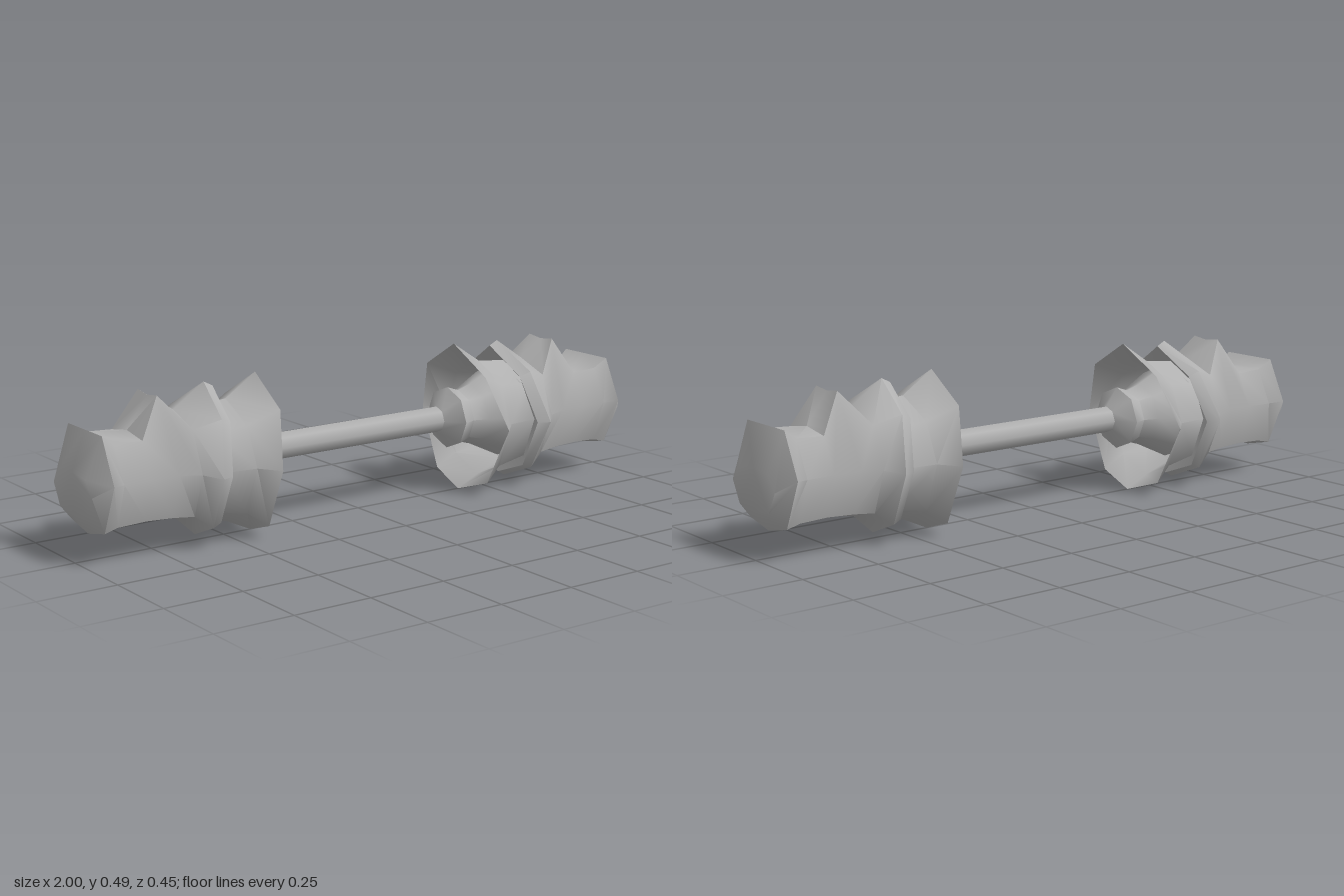
import * as THREE from 'three';
import { toCreasedNormals } from 'three/addons/utils/BufferGeometryUtils.js';

const grey = new THREE.MeshStandardMaterial({ color: 0xb0b0b0, side: THREE.DoubleSide });
grey.name = 'plain grey';

// Eight-cornered ring, mirrored across z.
// row: [x or five x values, topY, [upperY, z], [sideY, z], [lowerY, z], bottomY]
function ring([x, top, upper, mid, lower, bottom], side) {
  const xs = Array.isArray(x) ? x : Array(5).fill(x);
  const half = [[top, 0], upper, mid, lower, [bottom, 0]];
  const points = half.map(([y, z], i) => [xs[i] * side, y, z]);
  for (let i = 3; i > 0; i--) points.push([xs[i] * side, half[i][0], -half[i][1]]);
  return points;
}

// Regular ring around the handle axis.
function roundRow(x, r, y = 0.248) {
  const d = r * Math.SQRT1_2;
  return [x, y + r, [y + d, d], [y, r], [y - d, d], y - r];
}

// Skin through rings running outward along x, optionally capped at the end.
function loft(name, rows, side, capped = false, crease = 0.9) {
  const positions = rows.flatMap((row) => ring(row, side)).flat();
  const index = [];
  const tri = (a, b, c) => (side > 0 ? index.push(a, b, c) : index.push(a, c, b));
  for (let r = 0; r < rows.length - 1; r++) {
    for (let i = 0; i < 8; i++) {
      const a = r * 8 + i, b = r * 8 + ((i + 1) % 8);
      tri(a, b, a + 8);
      tri(b, b + 8, a + 8);
    }
  }
  if (capped) {
    const start = (rows.length - 1) * 8;
    for (let i = 1; i < 7; i++) tri(start, start + i, start + i + 1);
  }
  const geometry = new THREE.BufferGeometry();
  geometry.setAttribute('position', new THREE.Float32BufferAttribute(positions, 3));
  geometry.setIndex(index);
  const mesh = new THREE.Mesh(toCreasedNormals(geometry, crease), grey);
  mesh.name = name;
  return mesh;
}

// Flange and core hidden partly inside the skirt
const coreRows = [
  roundRow(0.31, 0.04), roundRow(0.355, 0.1), roundRow(0.4, 0.085),
  roundRow(0.45, 0.1), roundRow(0.57, 0.155),
];

// Flared, open skirt facing the handle
const skirtRows = [
  [[0.38, 0.39, 0.43, 0.42, 0.405], 0.488, [0.4, 0.15], [0.235, 0.223], [0.045, 0.13], 0.003],
  [0.485, 0.42, [0.36, 0.118], [0.24, 0.17], [0.09, 0.112], 0.04],
  [0.59, 0.41, [0.35, 0.115], [0.24, 0.16], [0.11, 0.11], 0.075],
];

// Collar, humped body and bulging end
const headRows = [
  [0.59, 0.41, [0.35, 0.115], [0.24, 0.16], [0.11, 0.11], 0.075],
  [[0.53, 0.55, 0.58, 0.58, 0.575], 0.465, [0.38, 0.13], [0.235, 0.188], [0.08, 0.118], 0.035],
  [[0.56, 0.585, 0.62, 0.61, 0.6], 0.48, [0.395, 0.14], [0.235, 0.206], [0.07, 0.125], 0.02],
  [0.665, 0.41, [0.37, 0.11], [0.245, 0.16], [0.11, 0.11], 0.08],
  [[0.75, 0.75, 0.73, 0.73, 0.73], 0.465, [0.472, 0.055], [0.25, 0.143], [0.115, 0.1], 0.09],
  [0.82, 0.37, [0.355, 0.09], [0.25, 0.14], [0.12, 0.1], 0.095],
  [0.91, 0.362, [0.36, 0.09], [0.25, 0.142], [0.115, 0.095], 0.1],
  [0.955, 0.39, [0.39, 0.1], [0.255, 0.165], [0.105, 0.1], 0.083],
  [1.0, 0.275, [0.265, 0.08], [0.22, 0.115], [0.155, 0.08], 0.145],
];

export function createModel() {
  const model = new THREE.Group();
  model.name = 'doubleEndedBar';

  // Thin handle joining both heads
  const handle = new THREE.Mesh(new THREE.CylinderGeometry(0.042, 0.042, 0.66, 8), grey);
  handle.rotation.z = Math.PI / 2;
  handle.position.y = 0.248;
  handle.name = 'handle';
  model.add(handle);

  for (const side of [1, -1]) {
    const end = new THREE.Group();
    end.name = side > 0 ? 'leftEnd' : 'rightEnd';
    end.add(
      loft('core', coreRows, side),
      loft('skirt', skirtRows, side),
      loft('head', headRows, side, true),
    );
    model.add(end);
  }
  return model;
}
